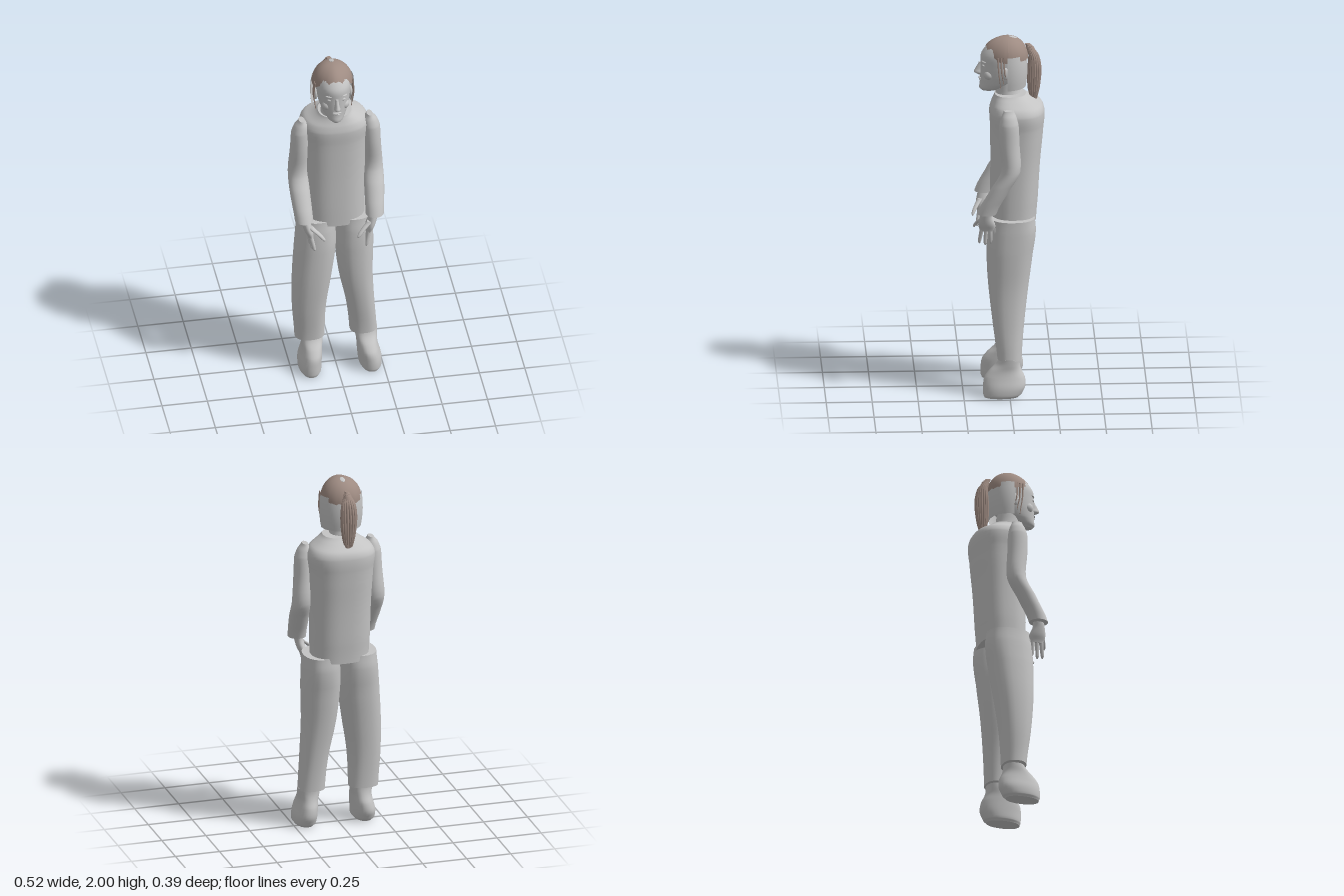
import * as THREE from 'three';

const grey = new THREE.MeshStandardMaterial({ color: 0xc4c4c4, side: THREE.DoubleSide });
grey.name = 'pale grey';
const brown = new THREE.MeshStandardMaterial({ color: 0x9e8b82, side: THREE.DoubleSide });
brown.name = 'hair brown';

// Smooth closed body through level sections [y, centreX, centreZ, halfX, halfZ], listed upwards.
function loft(name, rows, { mat = grey, n = 2, sides = 28, steps = 4 } = {}) {
  const sections = [];
  const at = (i) => rows[Math.min(Math.max(i, 0), rows.length - 1)];
  for (let i = 0; i < rows.length - 1; i++) {
    for (let s = 0; s < steps; s++) {
      const t = s / steps;
      sections.push(rows[i].map((p1, k) => {
        const p0 = at(i - 1)[k], p2 = at(i + 1)[k], p3 = at(i + 2)[k];
        if (k === 0) return p1 + (p2 - p1) * t;
        const v = 0.5 * (2 * p1 + (p2 - p0) * t + (2 * p0 - 5 * p1 + 4 * p2 - p3) * t * t
          + (3 * p1 - p0 - 3 * p2 + p3) * t * t * t);
        return k > 2 ? Math.max(v, 0.002) : v;
      }));
    }
  }
  sections.push(at(rows.length - 1));
  const pos = [], idx = [];
  const ring = ([y, cx, cz, rx, rz]) => {
    for (let i = 0; i < sides; i++) {
      const a = (i / sides) * Math.PI * 2, c = Math.cos(a), s = Math.sin(a);
      pos.push(cx + rx * Math.sign(c) * Math.abs(c) ** (2 / n), y,
        cz + rz * Math.sign(s) * Math.abs(s) ** (2 / n));
    }
  };
  sections.forEach(ring);
  for (let j = 0; j < sections.length - 1; j++) {
    for (let i = 0; i < sides; i++) {
      const a = j * sides + i, b = j * sides + (i + 1) % sides;
      idx.push(a, a + sides, b, b, a + sides, b + sides);
    }
  }
  // Flat end caps with their own vertices
  [sections[0], sections[sections.length - 1]].forEach((sec, top) => {
    const base = pos.length / 3;
    ring(sec);
    pos.push(sec[1], sec[0], sec[2]);
    for (let i = 0; i < sides; i++) {
      const a = base + i, b = base + (i + 1) % sides;
      idx.push(base + sides, top ? b : a, top ? a : b);
    }
  });
  const geo = new THREE.BufferGeometry();
  geo.setAttribute('position', new THREE.Float32BufferAttribute(pos, 3));
  geo.setIndex(idx);
  geo.computeVertexNormals();
  const mesh = new THREE.Mesh(geo, mat);
  mesh.name = name;
  return mesh;
}

function blob(name, x, y, z, rx, ry, rz) {
  const mesh = new THREE.Mesh(new THREE.SphereGeometry(1, 18, 12), grey);
  mesh.position.set(x, y, z);
  mesh.scale.set(rx, ry, rz);
  mesh.name = name;
  return mesh;
}

function makeArm(side, label) {
  const g = new THREE.Group();
  g.name = label + 'Arm';
  const add = (name, rows, opt) => g.add(loft(name, rows.map(([y, x, ...r]) => [y, x * side, ...r]), opt));
  add('sleeve', [
    [1.055, 0.195, 0.125, 0.05, 0.052], [1.2, 0.205, 0.05, 0.055, 0.052],
    [1.3, 0.207, -0.005, 0.054, 0.052], [1.45, 0.2, 0.002, 0.05, 0.055],
    [1.56, 0.196, 0.005, 0.048, 0.053], [1.605, 0.19, 0.005, 0.038, 0.042],
    [1.64, 0.187, 0.005, 0.016, 0.028]]);
  add('palm', [
    [0.945, 0.16, 0.118, 0.016, 0.044], [0.985, 0.17, 0.125, 0.024, 0.046],
    [1.03, 0.182, 0.13, 0.024, 0.034], [1.07, 0.19, 0.125, 0.024, 0.03]]);
  // Four fingers spread from front to back
  [0.868, 0.86, 0.868, 0.89].forEach((tip, i) => {
    const z = 0.15 - i * 0.023, tz = 0.163 - i * 0.031;
    add('finger', [
      [tip, 0.142 + i * 0.006, tz, 0.004, 0.004], [tip + 0.012, 0.145 + i * 0.006, tz, 0.009, 0.009],
      [0.92, 0.153 + i * 0.004, (z + tz) / 2, 0.011, 0.011], [0.965, 0.163, z, 0.012, 0.012]],
    { sides: 10, steps: 3 });
  });
  add('thumb', [
    [0.945, 0.093, 0.19, 0.005, 0.004], [0.957, 0.1, 0.187, 0.011, 0.009],
    [0.985, 0.125, 0.172, 0.014, 0.012], [1.02, 0.165, 0.148, 0.017, 0.015]], { sides: 12 });
  return g;
}

function makeHead() {
  const g = new THREE.Group();
  g.name = 'head';
  const cx = -0.018;
  g.add(loft('neck', [
    [1.66, cx, 0.0, 0.068, 0.07], [1.7, cx, 0.005, 0.062, 0.065], [1.78, cx, 0.01, 0.062, 0.06]]));
  g.add(loft('skull', [
    [1.695, cx, 0.105, 0.025, 0.04], [1.71, cx, 0.09, 0.045, 0.068], [1.74, cx, 0.055, 0.066, 0.1],
    [1.79, cx, 0.035, 0.083, 0.118], [1.85, cx, 0.03, 0.092, 0.121], [1.9, cx, 0.027, 0.094, 0.122],
    [1.945, cx, 0.015, 0.083, 0.105], [1.975, cx, 0.01, 0.052, 0.068], [1.985, cx, 0.01, 0.02, 0.025]],
  { sides: 36 }));
  // Facial relief
  g.add(loft('nose', [
    [1.785, cx, 0.15, 0.012, 0.015], [1.797, cx, 0.158, 0.018, 0.028], [1.815, cx, 0.155, 0.013, 0.026],
    [1.855, cx, 0.148, 0.009, 0.012]], { sides: 16 }));
  g.add(blob('upperLip', cx, 1.766, 0.147, 0.026, 0.006, 0.015));
  g.add(blob('lowerLip', cx, 1.755, 0.144, 0.022, 0.007, 0.015));
  g.add(blob('chin', cx, 1.718, 0.138, 0.026, 0.02, 0.02));
  for (const s of [-1, 1]) {
    g.add(blob('eye', cx + s * 0.036, 1.845, 0.134, 0.015, 0.008, 0.011));
    const brow = blob('brow', cx + s * 0.037, 1.868, 0.132, 0.023, 0.006, 0.014);
    brow.rotation.y = s * 0.3;
    g.add(brow);
    g.add(blob('cheek', cx + s * 0.045, 1.795, 0.105, 0.03, 0.03, 0.03));
    g.add(blob('ear', cx + s * 0.095, 1.815, 0.02, 0.013, 0.035, 0.02));
    // Loose locks beside the ears
    for (let i = 0; i < 3; i++) {
      const z = 0.055 - i * 0.016;
      g.add(loft('looseLock', [
        [1.73 + i * 0.025, cx + s * 0.098, z - 0.01, 0.002, 0.002],
        [1.82, cx + s * 0.11, z, 0.003, 0.004], [1.91, cx + s * 0.104, z + 0.005, 0.003, 0.006]],
      { mat: brown, sides: 6 }));
    }
  }
  // Curved shell around the back of the head
  const shellGeo = new THREE.CylinderGeometry(1, 1, 0.19, 32, 6, true, Math.PI / 2, Math.PI);
  const p = shellGeo.attributes.position;
  for (let i = 0; i < p.count; i++) {
    const h = p.getY(i) / 0.095, k = 1 - 0.07 * h * h + 0.015 * h;
    p.setXYZ(i, cx + p.getX(i) * 0.121 * k, 1.815 + p.getY(i), 0.008 + p.getZ(i) * 0.113 * k);
  }
  shellGeo.computeVertexNormals();
  const shell = new THREE.Mesh(shellGeo, grey);
  shell.name = 'backOfHead';
  g.add(shell);
  return g;
}

function makeHair() {
  const g = new THREE.Group();
  g.name = 'hair';
  const cx = -0.018;
  // Cap whose lower edge rises over the forehead
  const geo = new THREE.SphereGeometry(1, 48, 16, 0, Math.PI * 2, 0, Math.PI / 2);
  const p = geo.attributes.position, uv = geo.attributes.uv;
  for (let i = 0; i < p.count; i++) {
    const a = uv.getX(i) * Math.PI * 2, t = 1 - uv.getY(i);
    const front = Math.max(Math.sin(a), 0) ** 3;
    const ragged = 0.04 * Math.sin(a * 17) * t;
    const th = t * (Math.PI / 2 * (1 - 0.4 * front) + ragged);
    const r = Math.max(Math.sin(th), 0) ** 0.92;
    p.setXYZ(i, cx + 0.112 * r * Math.cos(a), 1.88 + 0.12 * Math.cos(th),
      0.004 + (0.112 + 0.03 * front) * r * Math.sin(a));
  }
  // Reorder corners so the faces look outwards
  const ix = geo.index.array;
  for (let i = 0; i < ix.length; i += 3) [ix[i], ix[i + 1]] = [ix[i + 1], ix[i]];
  geo.computeVertexNormals();
  const cap = new THREE.Mesh(geo, brown);
  cap.name = 'hairCap';
  g.add(cap);
  // Bare patch at the crown, following the slope of the cap
  const patch = blob('crownPatch', cx, 1.995, -0.025, 0.014, 0.003, 0.024);
  patch.rotation.x = -0.25;
  g.add(patch);
  // Ponytail core and the strands fanned around it
  g.add(loft('ponytail', [
    [1.63, cx, -0.135, 0.012, 0.012], [1.7, cx, -0.137, 0.028, 0.025], [1.8, cx, -0.14, 0.036, 0.03],
    [1.88, cx, -0.137, 0.033, 0.024], [1.935, cx, -0.12, 0.02, 0.02], [1.955, cx, -0.105, 0.012, 0.015]],
  { mat: brown }));
  for (let i = 0; i < 16; i++) {
    const a = (i / 16) * Math.PI * 2, c = Math.cos(a), s = Math.sin(a);
    const end = 1.6 + 0.035 * (0.5 + 0.5 * Math.sin(i * 5.3));
    g.add(loft('ponytailStrand', [
      [end, cx + c * 0.012, -0.138 + s * 0.012, 0.002, 0.002],
      [1.7, cx + c * 0.03, -0.138 + s * 0.026, 0.007, 0.007],
      [1.81, cx + c * 0.041, -0.142 + s * 0.032, 0.007, 0.007],
      [1.89, cx + c * 0.034, -0.138 + s * 0.022, 0.007, 0.007],
      [1.945, cx + c * 0.014, -0.113 + s * 0.014, 0.004, 0.004]],
    { mat: brown, sides: 8, steps: 3 }));
  }
  return g;
}

export function createModel() {
  const model = new THREE.Group();
  model.name = 'standingFigure';

  model.add(loft('tunic', [
    [0.97, 0.002, -0.025, 0.16, 0.125], [1.1, 0, -0.03, 0.164, 0.13], [1.3, 0, -0.037, 0.168, 0.135],
    [1.5, 0, -0.045, 0.178, 0.145], [1.585, 0, -0.046, 0.187, 0.15], [1.625, 0, -0.043, 0.168, 0.138],
    [1.655, 0, -0.025, 0.123, 0.108], [1.682, -0.003, -0.01, 0.092, 0.085]], { n: 2.4, sides: 40 }));

  // Trousers, the legs standing slightly apart
  model.add(loft('rightTrouserLeg', [
    [0.2, -0.143, 0, 0.082, 0.066], [0.4, -0.147, 0.005, 0.092, 0.085], [0.6, -0.132, 0.003, 0.106, 0.106],
    [0.8, -0.112, -0.007, 0.112, 0.122], [0.92, -0.106, -0.017, 0.106, 0.128],
    [1.0, -0.103, -0.02, 0.1, 0.12]], { n: 2.3 }));
  model.add(loft('leftTrouserLeg', [
    [0.21, 0.152, 0, 0.074, 0.066], [0.4, 0.135, 0.005, 0.077, 0.085], [0.6, 0.11, 0.003, 0.092, 0.106],
    [0.8, 0.103, -0.007, 0.104, 0.122], [0.92, 0.104, -0.017, 0.102, 0.128],
    [1.0, 0.103, -0.02, 0.1, 0.12]], { n: 2.3 }));

  // Soft shoes, toes turned a little outwards
  for (const [label, s, dx] of [['right', -1, 0], ['left', 1, 0.033]]) {
    model.add(loft(label + 'Shoe', [
      [0, 0.15, 0.046, 0.05, 0.093], [0.015, 0.15, 0.04, 0.061, 0.104], [0.06, 0.148, 0.03, 0.063, 0.115],
      [0.11, 0.14, 0.028, 0.058, 0.11], [0.15, 0.135, 0.022, 0.056, 0.086], [0.185, 0.133, 0.008, 0.06, 0.063],
      [0.22, 0.133, 0, 0.062, 0.055]].map(([y, x, ...r]) => [y, s * (x + dx), ...r]), { n: 2.2 }));
  }

  model.add(makeArm(-1, 'right'), makeArm(1, 'left'), makeHead(), makeHair());
  return model;
}
